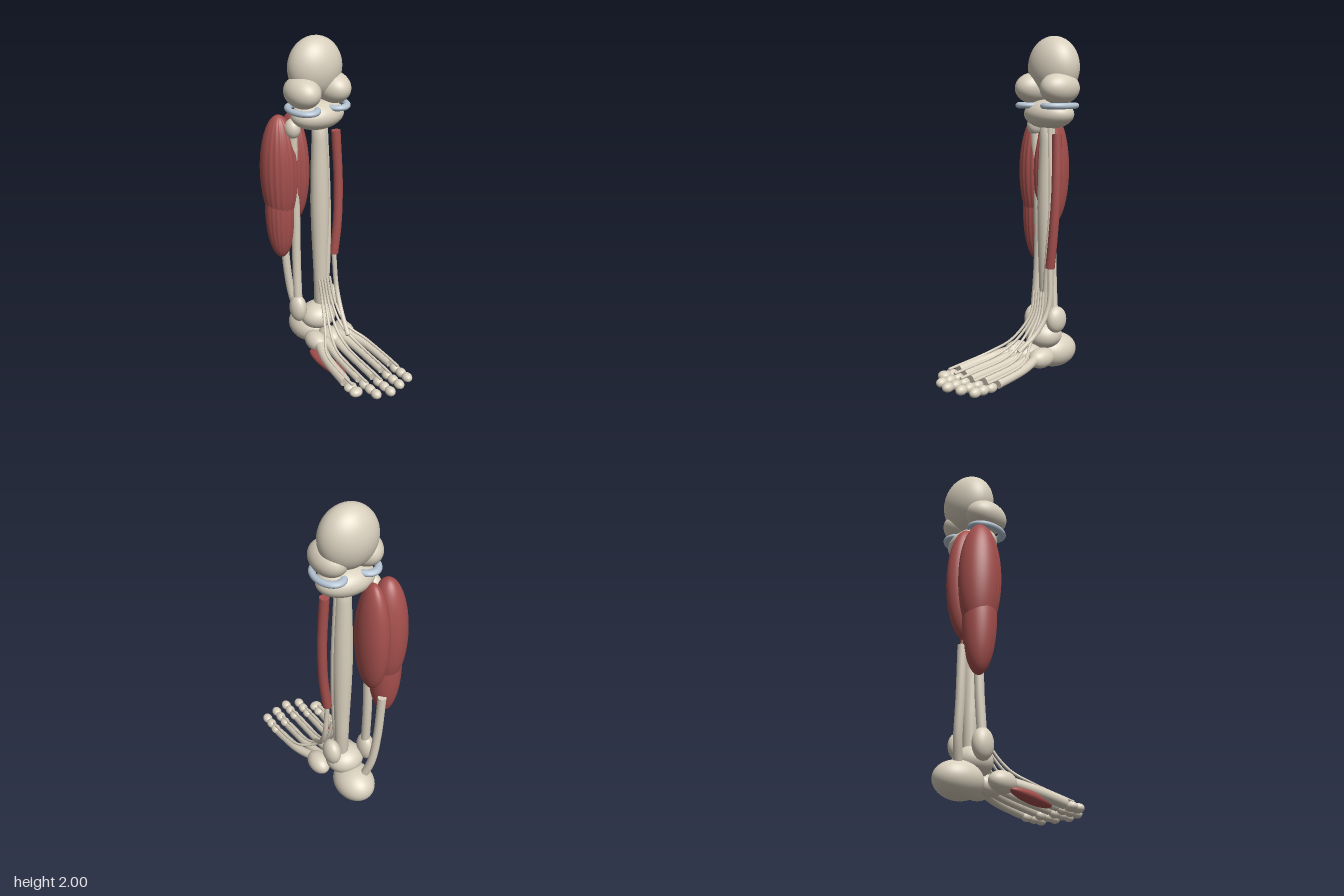
import * as THREE from 'three';

const bone = new THREE.MeshStandardMaterial({ color: 0xd8cfbd });
bone.name = 'bone';
const muscle = new THREE.MeshStandardMaterial({ color: 0xa5504d });
muscle.name = 'muscle';
const cartilage = new THREE.MeshStandardMaterial({ color: 0xb4c3d2 });
cartilage.name = 'cartilage';

const V = (p) => new THREE.Vector3(...p);

export function createModel() {
  const group = new THREE.Group();

  function add(name, geo, mat, pos = [0, 0, 0]) {
    const m = new THREE.Mesh(geo, mat);
    m.name = name;
    m.position.set(...pos);
    group.add(m);
    return m;
  }
  // ellipsoid from centre and radii
  function blob(name, pos, radii, mat = bone) {
    const g = new THREE.SphereGeometry(1, 40, 28);
    g.scale(...radii);
    return add(name, g, mat, pos);
  }
  // capped tube through points
  function tube(name, pts, r, mat = bone) {
    const curve = new THREE.CatmullRomCurve3(pts.map(V));
    add(name, new THREE.TubeGeometry(curve, 32, r, 14), mat);
    [0, 1].forEach((t) => {
      const cap = add(name + 'End', new THREE.CircleGeometry(r, 14), mat, curve.getPointAt(t).toArray());
      const dir = curve.getTangentAt(t).multiplyScalar(t ? 1 : -1);
      cap.quaternion.setFromUnitVectors(new THREE.Vector3(0, 0, 1), dir);
    });
  }
  // ellipsoid with shallow fibre ridges on its front side
  function belly(name, pos, radii) {
    const g = new THREE.SphereGeometry(1, 80, 40);
    const p = g.attributes.position;
    for (let i = 0; i < p.count; i++) {
      const x = p.getX(i), z = p.getZ(i);
      const front = Math.max(0, Math.min(1, z * 2));
      const k = 1 - 0.05 * front * (0.5 + 0.5 * Math.cos(Math.atan2(z, x) * 20));
      p.setXYZ(i, x * k, p.getY(i), z * k);
    }
    g.scale(...radii);
    g.computeVertexNormals();
    add(name, g, muscle, pos);
  }

  // knee
  blob('femurEnd', [0.062, 1.82, -0.307], [0.168, 0.18, 0.131]);
  [-0.053, 0.153].forEach((x) => {
    blob('femurCondyle', [x, 1.7, -0.265], [0.097, 0.093, 0.133]);
    const ring = new THREE.TorusGeometry(0.073, 0.018, 14, 48);
    ring.rotateX(Math.PI / 2);
    ring.scale(1.02, 1, 1.43);
    add('meniscus', ring, cartilage, [x, 1.6, -0.265]);
  });
  blob('tibiaPlateau', [0.056, 1.55, -0.275], [0.168, 0.086, 0.122]);

  // shin bones
  const shaft = [[0, 0.24], [0.04, 0.24], [0.043, 0.5], [0.054, 0.8], [0.058, 1.0],
    [0.054, 1.2], [0.046, 1.4], [0.042, 1.52], [0, 1.52]];
  add('tibiaShaft', new THREE.LatheGeometry(shaft.map((p) => new THREE.Vector2(...p)), 28), bone, [0.058, 0, -0.262]);
  tube('shinTendon', [[0.09, 1.48, -0.25], [0.105, 1.0, -0.245], [0.09, 0.6, -0.23], [0.07, 0.32, -0.23]], 0.018);
  blob('fibulaHead', [-0.095, 1.48, -0.31], [0.046, 0.06, 0.05]);
  tube('fibulaShaft', [[-0.095, 1.46, -0.31], [-0.075, 0.9, -0.325], [-0.078, 0.6, -0.322], [-0.085, 0.3, -0.3]], 0.027);

  // ankle and heel
  blob('outerAnkle', [-0.088, 0.29, -0.3], [0.05, 0.09, 0.065]);
  blob('innerAnkle', [0.132, 0.33, -0.272], [0.049, 0.08, 0.07]);
  blob('talus', [0.035, 0.225, -0.26], [0.115, 0.086, 0.108]);
  blob('heel', [0.028, 0.107, -0.362], [0.118, 0.104, 0.148]);
  [-0.065, 0.04, 0.145].forEach((x) => blob('tarsal', [x, 0.125, -0.135], [0.06, 0.06, 0.09]));

  // calf muscles and heel tendon
  belly('outerCalf', [-0.14, 1.2, -0.39], [0.115, 0.35, 0.125]);
  belly('innerCalf', [-0.042, 1.205, -0.4], [0.085, 0.345, 0.127]);
  belly('lowerCalf', [-0.143, 0.95, -0.388], [0.093, 0.315, 0.095]);
  tube('heelTendon', [[-0.085, 0.8, -0.457], [-0.07, 0.5, -0.448], [-0.045, 0.3, -0.435], [-0.01, 0.16, -0.4]], 0.025);

  // front shin muscle and its tendon
  tube('shinMuscle', [[0.16, 1.44, -0.238], [0.168, 1.1, -0.225], [0.155, 0.85, -0.217], [0.13, 0.65, -0.218]], 0.028, muscle);
  tube('shinMuscleTendon', [[0.13, 0.66, -0.218], [0.137, 0.42, -0.2], [0.122, 0.28, -0.125], [0.09, 0.175, -0.005]], 0.015);

  // toes: end x, start x, ray end z, ray radius, joint z positions, joint radius
  const rays = [
    [-0.128, -0.06, 0.27, 0.033, [0.322, 0.378], 0.04],
    [-0.045, -0.015, 0.296, 0.026, [0.345, 0.405, 0.462], 0.029],
    [0.04, 0.04, 0.322, 0.026, [0.37, 0.43, 0.487], 0.029],
    [0.125, 0.095, 0.296, 0.026, [0.345, 0.405, 0.462], 0.029],
    [0.208, 0.135, 0.27, 0.027, [0.317, 0.377, 0.434], 0.029],
  ];
  rays.forEach(([x, x0, z, r, joints, jr], i) => {
    const mid = x0 + (x - x0) * 0.72;
    tube('metatarsal', [[x0, 0.135, -0.12], [mid, 0.105, 0.05], [x, 0.075, z]], r);
    joints.forEach((jz) => blob('toeJoint', [x, 0.066, jz], [jr, 0.028, 0.036]));
    tube('toeTendon', [[0.01 + i * 0.02, 0.5, -0.205], [0.012 + i * 0.022, 0.36, -0.175],
      [x0 * 0.8 + 0.01, 0.215, -0.07], [mid, 0.143, 0.05], [x, 0.105, z], [x, 0.096, z + 0.075]], 0.008);
  });

  // sole muscle
  const sole = blob('soleMuscle', [-0.098, 0.068, 0.045], [0.046, 0.032, 0.168], muscle);
  sole.rotation.set(0.08, 0.1, 0);

  return group;
}
